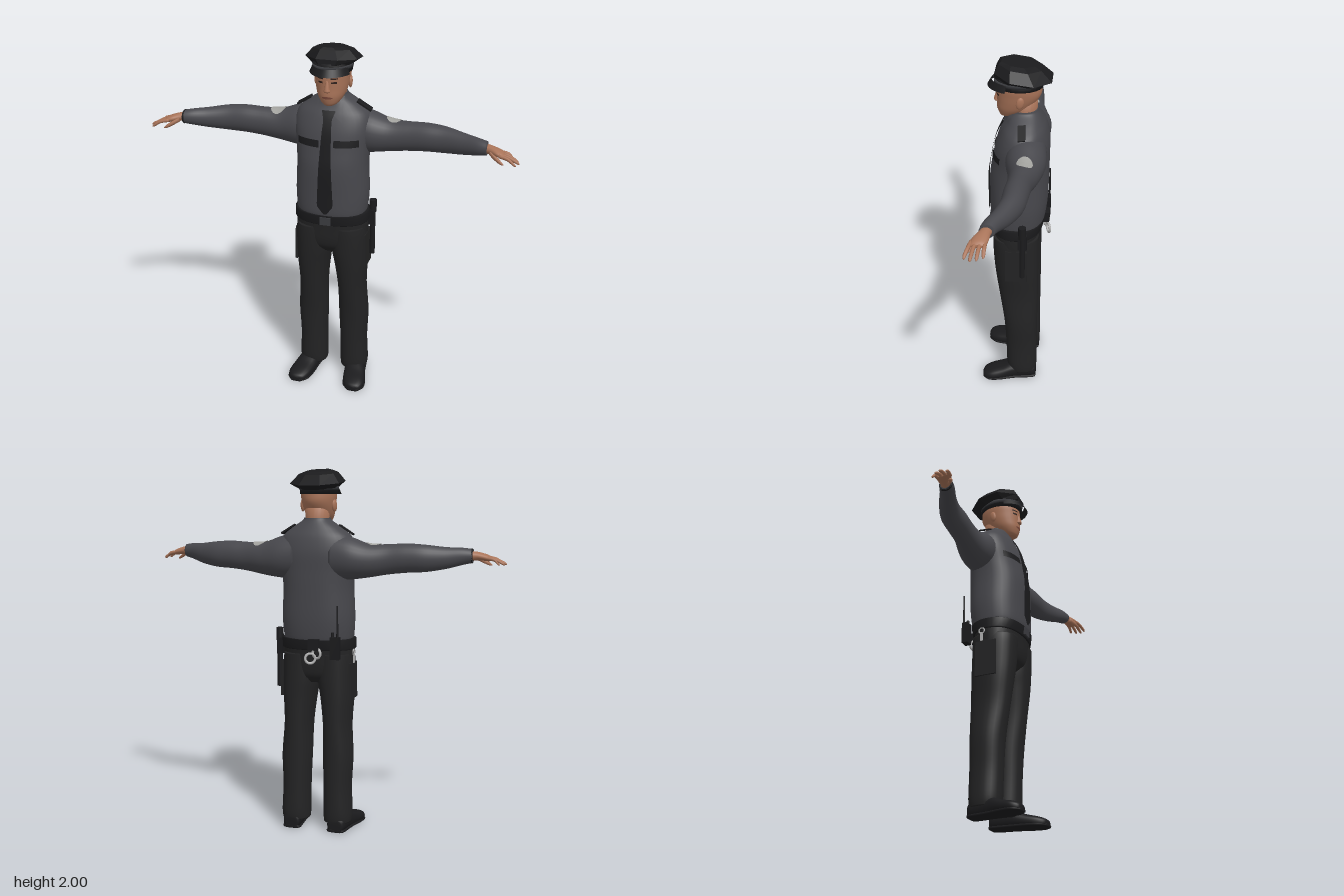
import * as THREE from 'three';

const mat = (name, color, side = THREE.FrontSide) => {
  const m = new THREE.MeshStandardMaterial({ color, side });
  m.name = name;
  return m;
};

// Catmull-Rom refinement of cross-sections [t, c1, c2, r1, r2]
function refine(secs, steps = 5) {
  const out = [], n = secs.length;
  for (let i = 0; i < n - 1; i++) for (let k = 0; k < steps; k++) {
    const u = k / steps, a = secs[Math.max(i - 1, 0)], b = secs[i], c = secs[i + 1], d = secs[Math.min(i + 2, n - 1)];
    out.push(b.map((v, j) => {
      const square = 2 * a[j] - 5 * v + 4 * c[j] - d[j];
      const cube = 3 * (v - c[j]) + d[j] - a[j];
      return v + 0.5 * u * (c[j] - a[j] + u * (square + u * cube));
    }));
  }
  out.push(secs[n - 1]);
  return out;
}

// Closed skin over super-elliptical sections along an axis; s = -1 mirrors in x
function loft(secs, axis, { n = 24, p = 2, s = 1, warp = null, flat = false, turn = 0 } = {}) {
  const pos = [], idx = [], m = secs.length;
  const flip = (axis === 'y') !== (s < 0);
  const add = (t, a, b) => {
    const v = axis === 'x' ? [t, a, b] : axis === 'y' ? [a, t, b] : [a, b, t];
    if (warp) warp(v);
    pos.push(v[0] * s, v[1], v[2]);
  };
  const pw = v => Math.sign(v) * Math.abs(v) ** (2 / p);
  const tri = (a, b, c) => (flip ? idx.push(a, c, b) : idx.push(a, b, c));
  for (const [t, c1, c2, r1, r2] of secs) for (let i = 0; i < n; i++) {
    const a = (i / n) * Math.PI * 2 + turn;
    add(t, c1 + r1 * pw(Math.cos(a)), c2 + r2 * pw(Math.sin(a)));
  }
  for (const e of [secs[0], secs[m - 1]]) add(e[0], e[1], e[2]);
  for (let i = 0; i < n; i++) {
    const k = (i + 1) % n;
    for (let j = 0; j < m - 1; j++) {
      const a = j * n + i, b = j * n + k;
      tri(a, b, a + n);
      tri(b, b + n, a + n);
    }
    tri(m * n, k, i);
    tri(m * n + 1, (m - 1) * n + i, (m - 1) * n + k);
  }
  let g = new THREE.BufferGeometry();
  g.setAttribute('position', new THREE.Float32BufferAttribute(pos, 3));
  g.setIndex(idx);
  if (flat) g = g.toNonIndexed();
  g.computeVertexNormals();
  return g;
}

// Surface position over a refined skin at (t, d); i picks the known cross axis
function surface(secs, p, t, d, i) {
  let k = 0;
  while (k < secs.length - 2 && secs[k + 1][0] < t) k++;
  const a = secs[k], b = secs[k + 1], u = THREE.MathUtils.clamp((t - a[0]) / (b[0] - a[0]), 0, 1);
  const q = a.map((v, j) => v + (b[j] - v) * u), o = 1 - i;
  const w = Math.min(Math.abs((d - q[1 + i]) / q[3 + i]), 0.99);
  return q[1 + o] + q[3 + o] * (1 - w ** p) ** (1 / p);
}

const TORSO = refine([[1.07, 0, -.005, .188, .14], [1.1, 0, -.005, .195, .149], [1.2, 0, -.01, .201, .155], [1.35, 0, -.012, .195, .157],
  [1.45, 0, -.02, .2, .15], [1.55, 0, -.03, .212, .14], [1.63, 0, -.037, .195, .117], [1.68, 0, -.04, .14, .092], [1.72, 0, -.037, .08, .075], [1.735, 0, -.037, .07, .069]]);
const ARM = refine([[.1, 1.53, -.06, .125, .1], [.2, 1.522, -.06, .113, .104], [.3, 1.512, -.06, .089, .081], [.4, 1.52, -.048, .08, .064], [.5, 1.528, -.04, .077, .063],
  [.6, 1.528, -.03, .071, .059], [.7, 1.53, .005, .057, .051], [.78, 1.538, .044, .045, .043], [.83, 1.54, .06, .036, .037]]);
const HEAD = refine([[1.69, 0, .055, .026, .03], [1.705, 0, .045, .047, .05], [1.74, 0, .02, .071, .085], [1.78, 0, .003, .084, .102],
  [1.82, 0, -.008, .091, .114], [1.86, 0, -.01, .095, .115], [1.91, 0, -.01, .09, .11]]);
const LEG = refine([[.05, .122, -.04, .077, .08], [.1, .123, -.038, .08, .088], [.25, .12, -.035, .077, .09], [.42, .12, -.03, .083, .095],
  [.6, .113, -.018, .078, .108], [.75, .108, -.008, .09, .118], [.85, .1, -.003, .1, .123], [.95, .096, 0, .104, .125], [1, .095, 0, .1, .125]]);

// Thin plate following the front of a skin; f(u, v) gives [x, y]
function plate(secs, p, f, nu, nv, off) {
  const g = new THREE.PlaneGeometry(1, 1, nu, nv), q = g.attributes.position;
  for (let i = 0; i < q.count; i++) {
    const [x, y] = f(q.getX(i), q.getY(i) + 0.5);
    q.setXYZ(i, x, y, surface(secs, p, y, x, 0) + off);
  }
  g.computeVertexNormals();
  return g;
}

export function createModel() {
  const D = THREE.DoubleSide;
  const shirt = mat('shirt grey', 0x47474c, D), skin = mat('skin', 0xa87358), trousers = mat('trouser black', 0x232324);
  const black = mat('gear black', 0x1b1b1d, D), band = mat('band grey', 0x3b3c40), patch = mat('patch grey', 0xa2a29e, D);
  const metal = mat('metal', 0xb4b4b4), lip = mat('lip', 0x7c4a3c, D), dark = mat('eye dark', 0x2e201b, D);
  const model = new THREE.Group();
  model.name = 'officer';
  const add = (name, geo, m, at = [0, 0, 0], rot = [0, 0, 0], scale = [1, 1, 1]) => {
    const o = new THREE.Mesh(geo, m);
    o.name = name;
    o.position.set(...at);
    o.rotation.set(...rot);
    o.scale.set(...scale);
    model.add(o);
  };
  const box = (...s) => new THREE.BoxGeometry(...s);
  const cyl = (a, b, h) => new THREE.CylinderGeometry(a, b, h, 12);

  // Body and clothing
  add('shirtBody', loft(TORSO, 'y', { n: 36, p: 2.3 }), shirt);
  add('trouserSeat', loft(refine([[.84, 0, -.005, .13, .08], [.88, 0, -.002, .18, .112], [.93, 0, 0, .197, .124], [1.0, 0, 0, .2, .129], [1.09, 0, -.004, .193, .14]]), 'y', { n: 32, p: 2.3 }), trousers);
  add('belt', loft([[1.025, 0, -.002, .203, .137], [1.03, 0, -.002, .207, .141], [1.08, 0, -.003, .207, .15], [1.085, 0, -.003, .2, .145]], 'y', { n: 36, p: 2.3 }), black);
  add('buckle', box(.06, .045, .01), band, [0, 1.055, .146]);
  add('tie', plate(TORSO, 2.3, (u, v) => {
    const y = 1.1 + v * .56;
    const w = y > 1.61 ? .02 + (y - 1.61) * .35 : y > 1.145 ? .045 - (y - 1.145) * .048 : .008 + (y - 1.1) * .82;
    return [u * 2 * w, y];
  }, 4, 28, .009), black);

  // Head and face
  add('head', loft(HEAD, 'y', { n: 32 }), skin);
  add('neck', loft([[1.66, 0, -.038, .066, .066], [1.72, 0, -.036, .064, .066], [1.8, 0, -.03, .07, .075]], 'y'), skin);
  add('nose', loft(refine([[1.765, 0, .1, .006, .006], [1.773, 0, .1, .019, .021], [1.79, 0, .1, .014, .019], [1.83, 0, .098, .009, .008]]), 'y', { n: 12 }), skin);
  add('mouth', plate(HEAD, 2, (u, v) => [u * .056, 1.738 + (v - .5) * .014 * (1 - 3 * u * u)], 8, 2, .002), lip);
  for (const s of [1, -1]) {
    add('eye', plate(HEAD, 2, (u, v) => [s * .036 + u * .026, 1.82 + (v - .5) * .01], 4, 1, .002), dark);
    add('eyebrow', plate(HEAD, 2, (u, v) => [s * .037 + u * .036, 1.841 + (v - .5) * .007], 4, 1, .003), dark);
    add('ear', new THREE.SphereGeometry(1, 12, 10), skin, [s * .091, 1.8, -.02], [-.15, s * .25, 0], [.011, .033, .021]);
  }

  // Peaked cap with an eight-sided crown
  add('capBand', loft([[1.862, 0, -.008, .101, .124], [1.92, 0, -.008, .106, .127]], 'y'), black);
  add('capStripe', loft([[1.884, 0, -.008, .105, .128], [1.904, 0, -.008, .107, .13]], 'y'), band);
  add('capCrown', loft([[1.9, 0, -.01, .11, .135], [1.928, 0, -.032, .15, .156], [1.975, 0, -.015, .105, .115], [1.987, 0, -.005, .07, .09]], 'y',
    { n: 8, flat: true, turn: Math.PI / 8, warp: v => { v[1] += v[2] * .13; } }), black);
  add('capVisor', new THREE.CylinderGeometry(.1, .116, .036, 20, 1, true, -1.2, 2.4), black, [0, 1.878, 0], [0, 0, 0], [1, 1, 1.32]);

  for (const s of [1, -1]) {
    // Collar, chest flaps and shoulder straps
    add('collar', plate(TORSO, 2.3, (u, v) => [s * (.008 + (u + .5) * (.07 - .01 * v)), 1.655 + v * .07 - (u + .5) * .05 * (1 - v)], 5, 6, .006), shirt);
    add('chestFlap', plate(TORSO, 2.3, (u, v) => [s * (.103 + u * .126), 1.472 + v * .038 + (s > 0 ? .006 : 0)], 8, 2, .006), black);
    add('shoulderStrap', box(.09, .009, .038), black, [s * .165, 1.672, -.035], [.12, 0, -s * .56]);

    // Sleeve and its shoulder patch
    add('sleeve', loft(ARM, 'x', { n: 28, s }), shirt);
    const g = new THREE.RingGeometry(0, .041, 20, 4), q = g.attributes.position;
    for (let i = 0; i < q.count; i++) {
      const x = .32 + q.getX(i), z = q.getY(i) - (s > 0 ? .065 : .048);
      q.setXYZ(i, s * x, surface(ARM, 2, x, z, 1) + .004, z);
    }
    g.computeVertexNormals();
    add('sleevePatch', g, patch);

    // Hand
    add('palm', loft(refine([[.81, 1.54, .056, .026, .028], [.845, 1.54, .068, .023, .03], [.88, 1.535, .081, .02, .039], [.91, 1.528, .088, .016, .039], [.925, 1.524, .09, .008, .032]]), 'x', { n: 16, s }), skin);
    for (let i = 0; i < 4; i++) {
      const z = .058 + i * .021, tip = [.972, .992, 1, .985][i], dz = (i - 1) * .007 + .008;
      add('finger', loft(refine([[.895, 1.53, z, .01, .01], [.94, 1.522, z + dz * .5, .0095, .0095], [tip - .012, 1.502, z + dz, .008, .008], [tip, 1.495, z + dz, .002, .002]], 3), 'x', { n: 10, s }), skin);
    }
    add('thumb', loft(refine([[.845, 1.532, .088, .014, .014], [.875, 1.515, .112, .013, .012], [.905, 1.498, .126, .01, .01], [.922, 1.489, .131, .003, .003]], 3), 'x', { n: 10, s }), skin);

    // Trouser leg, thigh pocket and shoe
    add('trouserLeg', loft(LEG, 'y', { n: 28, s, p: 2.2 }), trousers);
    add('thighPocket', box(.012, .2, .12), trousers, [s * .197, .85, -.01], [0, 0, s * .02]);
    add('shoe', loft(refine([[-.122, .13, .03, .03, .028], [-.105, .13, .042, .05, .044], [0, .14, .045, .058, .052], [.08, .155, .032, .064, .04], [.14, .166, .024, .061, .033], [.178, .17, .018, .042, .024], [.19, .171, .015, .012, .012]]), 'z',
      { n: 20, s, p: 2.4, warp: v => { v[1] = Math.max(v[1], 0); } }), black);
    add('shoeSole', loft(refine([[-.122, .13, .008, .04, .008], [-.1, .13, .008, .054, .008], [0, .142, .008, .058, .008], [.09, .158, .008, .067, .008], [.15, .167, .008, .062, .008], [.188, .171, .008, .03, .008]]), 'z', { n: 12, s, p: 4 }), black);
  }

  // Baton and holder on the left hip
  add('baton', cyl(.015, .015, .33), black, [.218, .965, -.045]);
  add('batonGrip', cyl(.021, .021, .07), black, [.218, 1.095, -.045]);
  add('batonHolder', box(.03, .09, .05), black, [.212, 1.03, -.045]);

  // Radio, handcuffs and key ring on the belt
  add('radio', box(.05, .12, .035), black, [-.14, 1.045, -.155]);
  add('radioKnob', cyl(.008, .008, .03), black, [-.125, 1.115, -.155]);
  add('radioAntenna', cyl(.004, .006, .18), black, [-.155, 1.185, -.165]);
  add('cuffCase', box(.06, .06, .03), black, [-.02, 1.06, -.16]);
  for (const s of [1, -1])
    add('handcuff', new THREE.TorusGeometry(.027, .007, 8, 20), metal, [-.02 + s * .016, 1.0 - s * .014, -.165 - s * .006], [0, s * .4, 0]);
  add('keyRing', new THREE.TorusGeometry(.016, .004, 6, 14), metal, [-.207, 1.01, -.03], [0, Math.PI / 2, 0]);
  add('key', box(.006, .05, .014), metal, [-.208, .975, -.03]);

  // Wrist watch on the right arm
  add('watch', new THREE.TorusGeometry(.033, .006, 8, 20), black, [-.825, 1.54, .06], [0, Math.PI / 2, 0]);
  return model;
}
